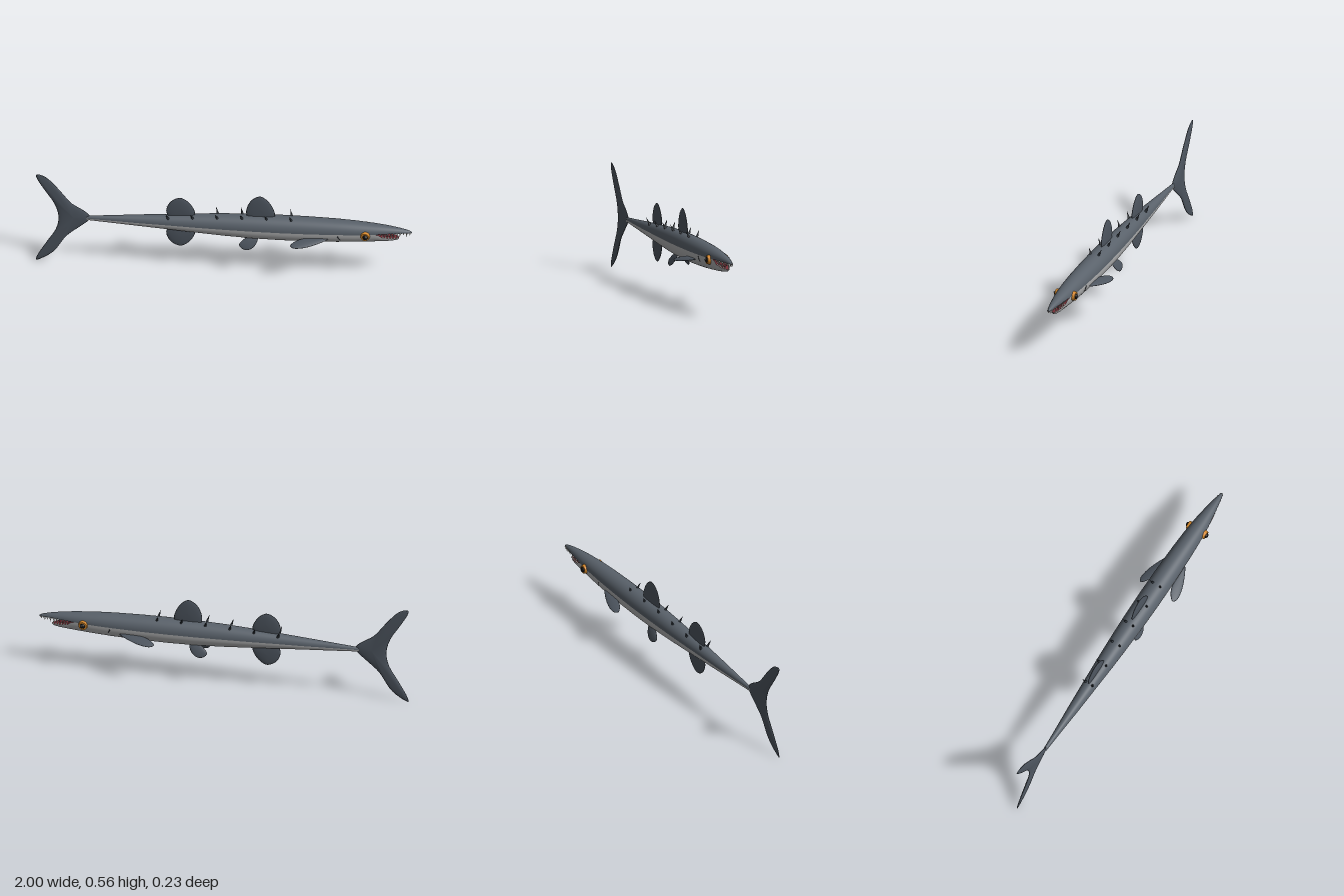
import * as THREE from 'three';

const mat = (name, color, side = THREE.FrontSide) => {
  const m = new THREE.MeshStandardMaterial({ color, side });
  m.name = name;
  return m;
};

// Surface through a grid of points: at(i, j) returns [x, y, z]
function gridGeometry(rows, cols, at) {
  const pos = [], idx = [];
  for (let i = 0; i < rows; i++) for (let j = 0; j < cols; j++) pos.push(...at(i, j));
  for (let i = 0; i < rows - 1; i++) for (let j = 0; j < cols - 1; j++) {
    const a = i * cols + j, b = a + 1, c = a + cols, d = c + 1;
    idx.push(a, c, b, b, c, d);
  }
  const g = new THREE.BufferGeometry();
  g.setAttribute('position', new THREE.Float32BufferAttribute(pos, 3));
  g.setIndex(idx);
  g.computeVertexNormals();
  return g;
}

// Half-ellipse shell; stations are [x, rim height, crown height, half width]
const shell = (st) => gridGeometry(st.length, 25, (i, j) => {
  const [x, rim, crown, w] = st[i], a = Math.PI * j / 24;
  return [x, rim + (crown - rim) * Math.sin(a), w * Math.cos(a)];
});

// Flat lining between the two rims of a shell
const lining = (st) => gridGeometry(st.length, 2, (i, j) => [st[i][0], st[i][1], st[i][3] * (j ? -1 : 1)]);

// Lens-shaped fin: rings shrink from the outline to a centre while thickening
function finGeometry(points, [cx, cy], thick) {
  const curve = new THREE.CatmullRomCurve3(points.map(([x, y]) => new THREE.Vector3(x, y, 0)), true, 'centripetal');
  const ring = curve.getPoints(56), n = 6;
  return gridGeometry(2 * n + 1, ring.length, (i, j) => {
    const a = Math.PI * i / (2 * n), s = Math.sin(a), p = ring[j];
    return [cx + (p.x - cx) * s, cy + (p.y - cy) * s, thick * Math.cos(a)];
  });
}

export function createModel() {
  const fish = new THREE.Group();
  fish.name = 'fish';
  const D = THREE.DoubleSide;
  const back = mat('slate back', 0x59616a, D), belly = mat('silver belly', 0xb2b3b4, D);
  const finMat = mat('fin grey', 0x4d555f, D), dark = mat('dark spine', 0x30363d);
  const mouth = mat('mouth red', 0x7c2f38, D), tooth = mat('tooth ivory', 0xf0eee4);
  const amber = mat('amber iris', 0xd98a2b), black = mat('pupil black', 0x0c0c0e);
  const white = mat('eye glint', 0xffffff);

  const add = (name, geometry, material) => {
    const m = new THREE.Mesh(geometry, material);
    m.name = name;
    fish.add(m);
    return m;
  };
  const spike = (name, from, to, r, material) => {
    const a = new THREE.Vector3(...from), d = new THREE.Vector3(...to).sub(a);
    const m = add(name, new THREE.ConeGeometry(r, d.length(), 8), material);
    m.position.copy(a).addScaledVector(d, 0.5);
    m.quaternion.setFromUnitVectors(new THREE.Vector3(0, 1, 0), d.normalize());
  };

  // Body shells
  const upper = [
    [-0.74, 0.294, 0.295, 0.001], [-0.725, 0.294, 0.306, 0.009], [-0.6, 0.294, 0.315, 0.017],
    [-0.45, 0.294, 0.326, 0.028], [-0.3, 0.295, 0.336, 0.037], [-0.15, 0.295, 0.346, 0.046],
    [0, 0.295, 0.354, 0.053], [0.15, 0.295, 0.359, 0.058], [0.3, 0.295, 0.36, 0.06],
    [0.45, 0.295, 0.358, 0.059], [0.6, 0.296, 0.353, 0.055], [0.7, 0.297, 0.347, 0.05],
    [0.8, 0.299, 0.338, 0.041], [0.87, 0.3, 0.33, 0.031], [0.93, 0.299, 0.32, 0.021],
    [0.97, 0.297, 0.311, 0.013], [0.99, 0.295, 0.304, 0.007], [0.998, 0.293, 0.297, 0.001]];
  const floor = [0.294, 0.281, 0.272, 0.262, 0.251, 0.24, 0.229, 0.221, 0.218, 0.219, 0.223, 0.228, 0.234];
  const lower = [
    ...floor.map((y, i) => [upper[i][0], upper[i][1], y, upper[i][3]]),
    [0.82, 0.293, 0.236, 0.037], [0.84, 0.276, 0.238, 0.033], [0.88, 0.268, 0.242, 0.026],
    [0.91, 0.264, 0.246, 0.018], [0.923, 0.262, 0.249, 0.011], [0.929, 0.26, 0.257, 0.001]];
  add('back', shell(upper), back);
  add('belly', shell(lower), belly);
  add('palate', lining(upper.slice(12)), mouth);
  add('mouthFloor', lining(lower.slice(12)), mouth);
  const tongue = add('tongue', new THREE.SphereGeometry(1, 16, 10), mouth);
  tongue.scale.set(0.04, 0.006, 0.014);
  tongue.position.set(0.855, 0.274, 0);

  // Teeth along both jaw rims
  const rim = (st, x) => {
    const k = st.findIndex((s) => s[0] >= x), a = st[k - 1], b = st[k], t = (x - a[0]) / (b[0] - a[0]);
    return [a[1] + (b[1] - a[1]) * t, a[3] + (b[3] - a[3]) * t];
  };
  for (const s of [1, -1]) {
    for (let i = 0; i < 10; i++) {
      const x = 0.835 + i * 0.017, [y, w] = rim(upper, x), len = i % 2 ? 0.018 : 0.027;
      spike('upperTooth', [x, y + 0.002, s * w * 0.9], [x - 0.004, y - len, s * w * 0.6], 0.0042, tooth);
    }
    for (let i = 0; i < 6; i++) {
      const x = 0.845 + i * 0.015, [y, w] = rim(lower, x), len = i % 2 ? 0.022 : 0.015;
      spike('lowerTooth', [x, y - 0.002, s * w * 0.9], [x - 0.002, y + len, s * w * 0.65], 0.004, tooth);
    }
  }

  // Tail fin
  add('tailFin', finGeometry([
    [-0.99, 0.563], [-0.944, 0.546], [-0.874, 0.468], [-0.81, 0.385], [-0.751, 0.345], [-0.714, 0.311],
    [-0.714, 0.284], [-0.767, 0.233], [-0.837, 0.168], [-0.901, 0.067], [-0.96, 0.02], [-0.997, 0.004],
    [-0.992, 0.03], [-0.944, 0.12], [-0.89, 0.217], [-0.878, 0.297], [-0.9, 0.377], [-0.955, 0.468],
    [-0.998, 0.553]], [-0.8, 0.294], 0.009), finMat);

  // Midline fins share one rounded outline: x offset, height above the root
  const lobe = [[-0.055, -0.02], [-0.076, 0.015], [-0.067, 0.057], [-0.042, 0.088], [-0.002, 0.104],
    [0.036, 0.085], [0.066, 0.046], [0.076, 0.01], [0.055, -0.02]];
  for (const [name, x, y, h] of [['frontDorsalFin', 0.194, 0.352, 1.28], ['rearDorsalFin', -0.23, 0.342, 1.06],
    ['analFin', -0.23, 0.246, -1.02]]) {
    add(name, finGeometry(lobe.map(([u, v]) => [x + u, y + v * h]), [x, y + 0.04 * h], 0.008), finMat);
  }

  // Paired fins, hinged at the flank
  const pectoral = [[0.555, -0.006], [0.49, 0.035], [0.42, 0.06], [0.375, 0.062], [0.358, 0.048],
    [0.38, 0.02], [0.42, 0], [0.48, -0.01]];
  const pelvic = [[0.18, -0.006], [0.168, 0.035], [0.135, 0.06], [0.1, 0.056], [0.083, 0.035],
    [0.1, 0.01], [0.13, -0.01]];
  for (const s of [1, -1]) {
    for (const [name, pts, c, y, z, tilt] of [['pectoralFin', pectoral, [0.44, 0.025], 0.262, 0.056, 1.2],
      ['pelvicFin', pelvic, [0.13, 0.025], 0.226, 0.028, 0.42]]) {
      const f = add(name, finGeometry(pts.map(([x, d]) => [x, -d]), [c[0], -c[1]], 0.006), finMat);
      f.position.set(0, y, s * z);
      f.rotation.x = -s * tilt;
    }

    // Back spines
    for (let i = 0; i < 6; i++) {
      const x = -0.295 + i * 0.131, top = 0.338 + 0.02 * Math.min(1, i / 3);
      spike('backSpine', [x, top - 0.012, s * 0.019], [x - 0.012, top + 0.029, s * 0.037], 0.008, dark);
    }

    // Eye: amber disc, bulging pupil and glint
    const iris = add('iris', new THREE.CylinderGeometry(0.022, 0.026, 0.016, 32), amber);
    iris.position.set(0.752, 0.29, s * 0.049);
    iris.rotation.x = s * Math.PI / 2;
    const pupil = add('pupil', new THREE.SphereGeometry(0.015, 24, 16), black);
    pupil.position.set(0.753, 0.29, s * 0.053);
    const glint = add('glint', new THREE.SphereGeometry(0.0035, 10, 8), white);
    glint.position.set(0.758, 0.296, s * 0.0655);

    // Gill slit following the flank
    const gill = [[0.605, 0.29, 0.055], [0.612, 0.268, 0.0495], [0.628, 0.25, 0.037], [0.65, 0.241, 0.027]]
      .map(([x, y, z]) => new THREE.Vector3(x, y, s * z));
    add('gillSlit', new THREE.TubeGeometry(new THREE.CatmullRomCurve3(gill), 20, 0.0025, 6), dark);
  }
  return fish;
}
